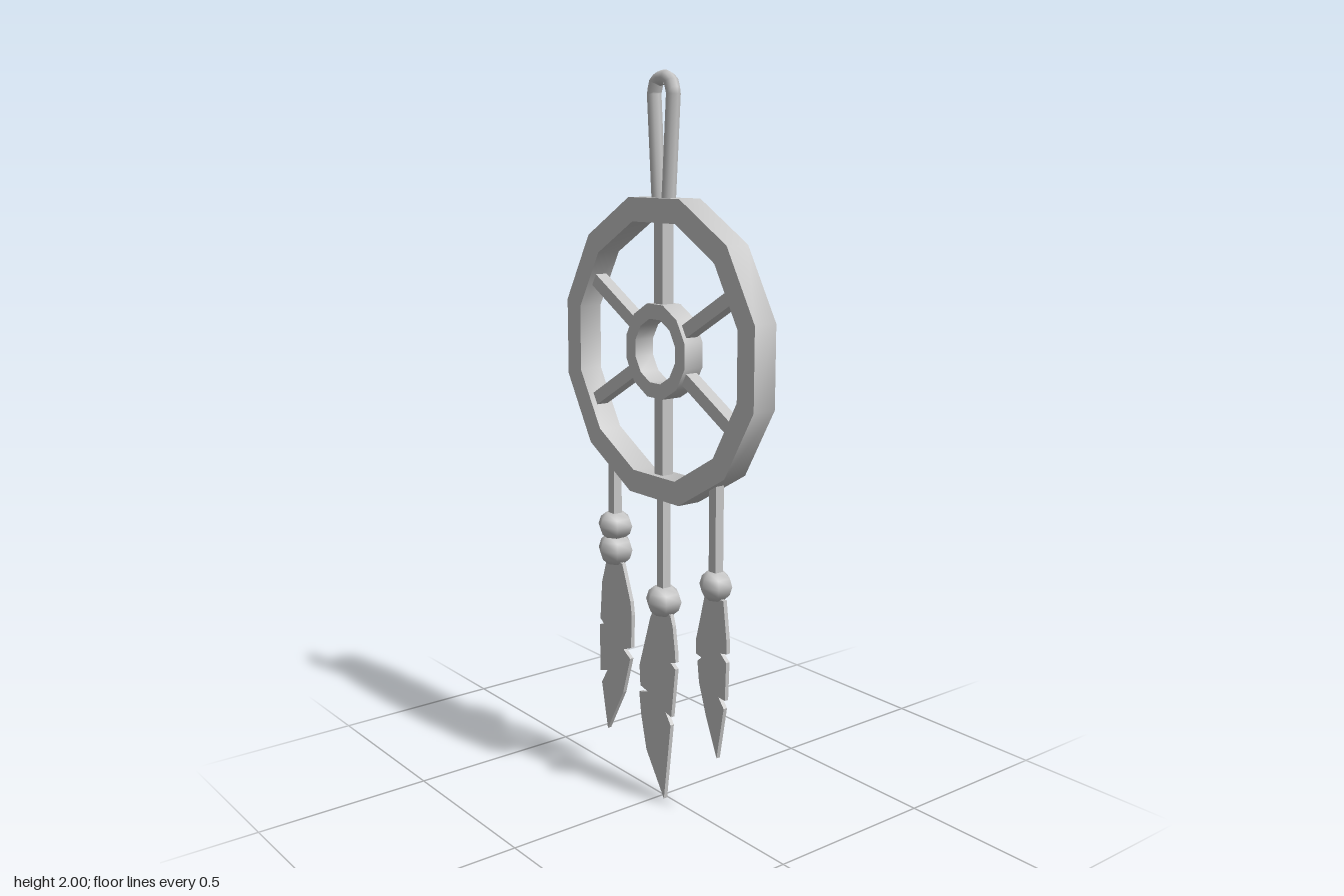
import * as THREE from 'three';
import { toCreasedNormals } from 'three/addons/utils/BufferGeometryUtils.js';

export function createModel() {
  const root = new THREE.Group();
  root.name = 'featherHoop';
  const grey = new THREE.MeshStandardMaterial({ color: 0xc6c6c6 });
  grey.name = 'grey';
  const CY = 1.28; // height of the hoop centre

  const add = (name, geo, x = 0, y = 0, z = 0) => {
    const mesh = new THREE.Mesh(geo, grey);
    mesh.name = name;
    mesh.position.set(x, y, z);
    root.add(mesh);
    return mesh;
  };

  // Twelve-sided flat rings, sized by the distance to their flats
  const polygon = (apothem, target) => {
    const r = apothem / Math.cos(Math.PI / 12);
    const pts = [];
    for (let i = 0; i < 12; i++) {
      const a = ((i + 0.5) * Math.PI) / 6;
      pts.push(new THREE.Vector2(r * Math.cos(a), r * Math.sin(a)));
    }
    return target.setFromPoints(pts);
  };
  const ring = (name, outer, inner, depth) => {
    const shape = polygon(outer, new THREE.Shape());
    shape.holes.push(polygon(inner, new THREE.Path()));
    const geo = new THREE.ExtrudeGeometry(shape, { depth, bevelEnabled: false });
    geo.translate(0, 0, -depth / 2);
    add(name, toCreasedNormals(geo, 0.7), 0, CY, 0);
  };
  ring('hoop', 0.4, 0.337, 0.07);
  ring('hub', 0.125, 0.085, 0.06);

  // Six spokes between hub and hoop
  for (let i = 0; i < 6; i++) {
    const a = Math.PI / 6 + (i * Math.PI) / 3;
    const spoke = add('spoke', new THREE.BoxGeometry(0.235, 0.036, 0.036),
      0.2325 * Math.cos(a), CY + 0.2325 * Math.sin(a));
    spoke.rotation.z = a;
  }

  // Hanging loop on top
  const loopPath = new THREE.CurvePath();
  const loopPts = [[-0.02, 1.66], [-0.04, 1.945], [-0.03, 1.973], [-0.012, 1.982],
    [0.012, 1.982], [0.03, 1.973], [0.04, 1.945], [0.02, 1.66]]
    .map(([x, y]) => new THREE.Vector3(x, y, 0));
  for (let i = 1; i < loopPts.length; i++) {
    loopPath.add(new THREE.LineCurve3(loopPts[i - 1], loopPts[i]));
  }
  add('hangingLoop', new THREE.TubeGeometry(loopPath, 64, 0.019, 8));

  // Low-poly bead with a vertex facing front
  const bead = (x, y, r, h) => {
    const profile = [[0, -1], [0.5, -1], [0.85, -0.6], [1, 0], [0.85, 0.6], [0.5, 1], [0, 1]]
      .map(([u, v]) => new THREE.Vector2(u * r, v * h));
    add('bead', new THREE.LatheGeometry(profile, 6), x, y);
  };

  // Thin feather from an outline, leaning forward or back toward its tip
  const feather = (outline, lean) => {
    const depth = 0.012;
    const shape = new THREE.Shape(outline.map(([x, y]) => new THREE.Vector2(x, y)));
    const geo = new THREE.ExtrudeGeometry(shape, { depth, bevelEnabled: false });
    const p = geo.attributes.position;
    const top = outline[0][1];
    for (let i = 0; i < p.count; i++) {
      p.setZ(i, p.getZ(i) - depth / 2 + lean * (top - p.getY(i)));
    }
    geo.computeVertexNormals();
    add('feather', geo);
  };

  // Three pendants: string, beads and feather
  const pendants = [
    {
      x: -0.225, top: 0.97, bottom: 0.66, lean: -0.01,
      beads: [[0.751, 0.053, 0.037], [0.68, 0.053, 0.042]],
      outline: [[-0.259, 0.645], [-0.185, 0.645], [-0.148, 0.54], [-0.143, 0.5], [-0.148, 0.4],
        [-0.185, 0.385], [-0.153, 0.365], [-0.19, 0.25], [-0.27, 0.11], [-0.296, 0.25],
        [-0.268, 0.295], [-0.302, 0.285], [-0.302, 0.43], [-0.28, 0.437], [-0.298, 0.45],
        [-0.286, 0.566]],
    },
    {
      x: 0, top: 0.92, bottom: 0.56, lean: 0.018,
      beads: [[0.583, 0.053, 0.04]],
      outline: [[-0.037, 0.55], [0.037, 0.55], [0.048, 0.52], [0.06, 0.45], [0.063, 0.42],
        [0.042, 0.413], [0.063, 0.4], [0.048, 0.255], [0.022, 0.262], [0.046, 0.23],
        [0.021, 0], [-0.063, 0.12], [-0.09, 0.22], [-0.1, 0.285], [-0.058, 0.297],
        [-0.095, 0.305], [-0.1, 0.365], [-0.053, 0.52]],
    },
    {
      x: 0.222, top: 0.97, bottom: 0.66, lean: -0.03,
      beads: [[0.683, 0.046, 0.038]],
      outline: [[0.185, 0.65], [0.26, 0.65], [0.27, 0.545], [0.27, 0.505], [0.245, 0.5],
        [0.268, 0.48], [0.26, 0.37], [0.234, 0.372], [0.255, 0.345], [0.222, 0.19],
        [0.18, 0.3], [0.153, 0.39], [0.148, 0.45], [0.165, 0.465], [0.143, 0.47],
        [0.143, 0.51], [0.148, 0.525]],
    },
  ];
  for (const { x, top, bottom, lean, beads, outline } of pendants) {
    add('string', new THREE.BoxGeometry(0.027, top - bottom, 0.027), x, (top + bottom) / 2);
    for (const [y, r, h] of beads) bead(x, y, r, h);
    feather(outline, lean);
  }
  return root;
}
